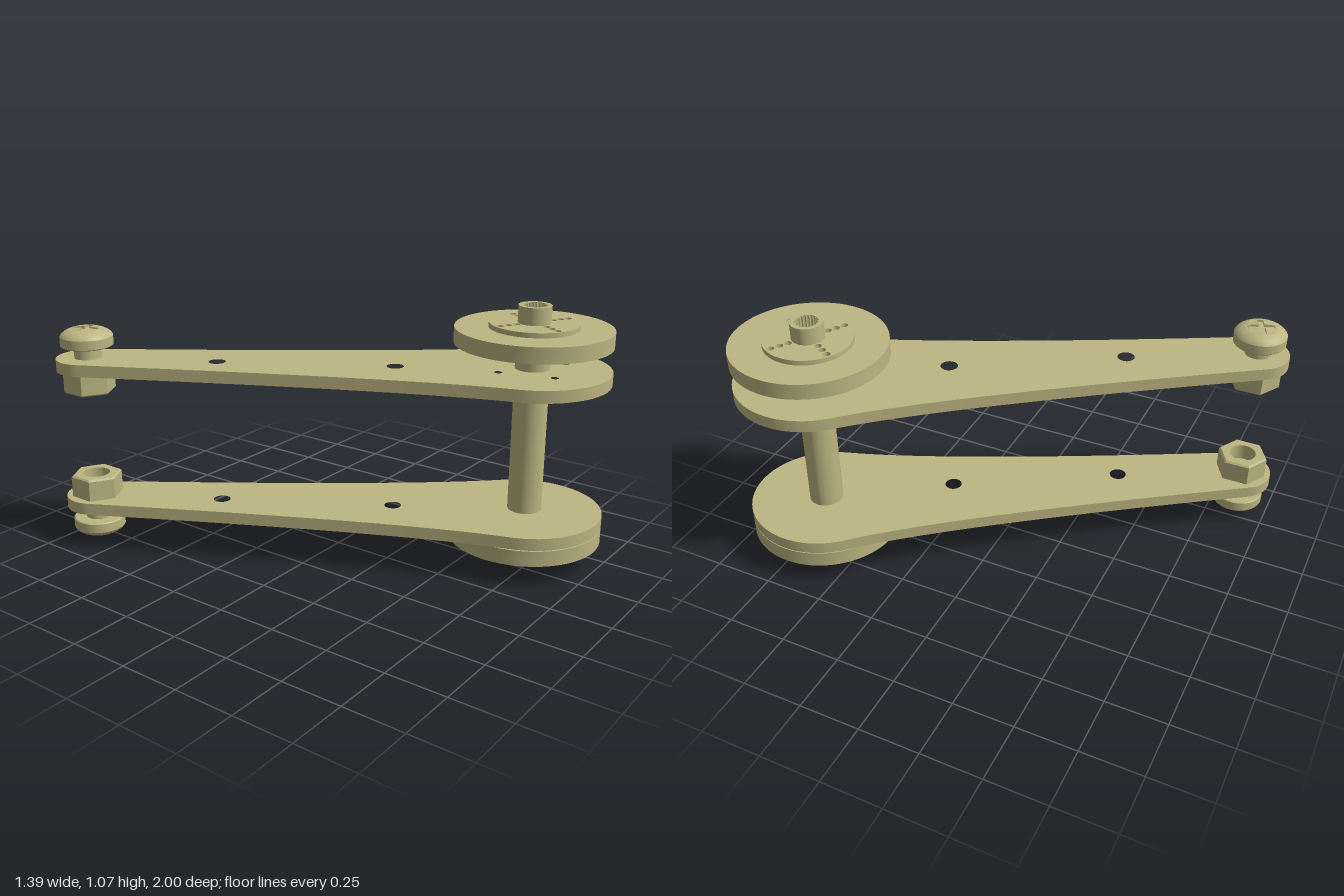
import * as THREE from 'three';
import { toCreasedNormals } from 'three/addons/utils/BufferGeometryUtils.js';

const material = new THREE.MeshStandardMaterial({ color: 0xbdb582 });
const PIVOT = new THREE.Vector2(0.375, 0.683); // axle position (x, z)
const TIP = new THREE.Vector2(-0.567, -0.868); // bolt position (x, z)
const R_BIG = 0.315, R_TIP = 0.13;

function add(parent, name, geometry, y = 0) {
  const mesh = new THREE.Mesh(toCreasedNormals(geometry, 0.5), material);
  mesh.name = name;
  mesh.position.y = y;
  parent.add(mesh);
  return mesh;
}

function hole(x, y, r) {
  return new THREE.Path().absarc(x, y, r, 0, Math.PI * 2, true);
}

// Extrudes a shape drawn in (x, z) upward from y = 0 to y = height
function slab(shape, height, options = {}) {
  const g = new THREE.ExtrudeGeometry(shape, { depth: height, bevelEnabled: false, curveSegments: 32, ...options });
  return g.rotateX(Math.PI / 2).translate(0, height, 0);
}

function lathe(points, segments = 48) {
  return new THREE.LatheGeometry(points.map(([r, y]) => new THREE.Vector2(r, y)), segments);
}

// Four arms of evenly spaced small hole centres, turned by 30 degrees
function armHoles(radii) {
  const list = [];
  for (let i = 0; i < 4; i++) {
    const a = Math.PI / 6 + i * Math.PI / 2;
    for (const r of radii) list.push([r * Math.cos(a), r * Math.sin(a)]);
  }
  return list;
}

// Tapered plate: two round ends joined by slightly concave sides
function armGeometry() {
  const axis = PIVOT.clone().sub(TIP);
  const length = axis.length();
  axis.normalize();
  const toWorld = (u, v) => new THREE.Vector2(
    TIP.x + u * axis.x + v * axis.y, TIP.y + u * axis.y - v * axis.x);
  const pts = [];
  const arc = (u, r, from, to) => {
    for (let i = 0; i <= 40; i++) {
      const a = THREE.MathUtils.degToRad(from + (to - from) * i / 40);
      pts.push([u + r * Math.cos(a), r * Math.sin(a)]);
    }
  };
  arc(length, R_BIG, -104, 104);
  const [bu, bv] = pts[pts.length - 1];
  const side = new THREE.QuadraticBezierCurve(
    new THREE.Vector2(bu, bv), new THREE.Vector2(1.3, 0.195), new THREE.Vector2(-0.007, R_TIP)
  ).getPoints(24).slice(1, -1);
  side.forEach(p => pts.push([p.x, p.y]));
  arc(0, R_TIP, 93, 267);
  side.reverse().forEach(p => pts.push([p.x, -p.y]));

  const shape = new THREE.Shape(pts.map(([u, v]) => toWorld(u, v)));
  shape.holes.push(hole(-0.303, -0.39, 0.035), hole(0.07, 0.23, 0.035));
  armHoles([0.158]).forEach(([x, z]) => shape.holes.push(hole(PIVOT.x + x, PIVOT.y + z, 0.016)));
  return slab(shape, 0.05);
}

// Wheel with a perforated horn and a bored hub, base at y = 0
function makeWheel(name) {
  const g = new THREE.Group();
  g.name = name;
  add(g, 'wheelDisc', new THREE.CylinderGeometry(R_BIG, R_BIG, 0.065, 72), 0.0325);

  const flange = new THREE.Shape().absarc(0, 0, 0.18, 0, Math.PI * 2);
  armHoles([0.085, 0.121, 0.158]).forEach(([x, z]) => flange.holes.push(hole(x, z, 0.015)));
  add(g, 'hornFlange', slab(flange, 0.02), 0.065);

  add(g, 'hornHub', lathe([[0.066, 0.08], [0.066, 0.155], [0.047, 0.155], [0.047, 0.1],
    [0.02, 0.1], [0.02, 0.07], [0, 0.07]]));

  // Fine spline teeth inside the bore
  for (let i = 0; i < 20; i++) {
    const a = i * Math.PI / 10;
    const tooth = add(g, 'splineTooth', new THREE.BoxGeometry(0.006, 0.05, 0.006), 0.127);
    tooth.position.x = 0.046 * Math.cos(a);
    tooth.position.z = 0.046 * Math.sin(a);
    tooth.rotation.y = -a + Math.PI / 4;
  }
  return g;
}

// Domed bolt with a cross recess and a hex nut; y = 0 is the nut side of the plate
function makeBolt(name) {
  const g = new THREE.Group();
  g.name = name;
  add(g, 'shank', new THREE.CylinderGeometry(0.055, 0.055, 0.19, 32), 0.02);
  add(g, 'head', lathe([[0, 0.1], [0.104, 0.1], [0.108, 0.104], [0.108, 0.142], [0.102, 0.151],
    [0.092, 0.159], [0.08, 0.166], [0.065, 0.171]]));

  // Crown with the cross cut through it, bent to follow the dome
  const crown = new THREE.Shape().absarc(0, 0, 0.065, 0, Math.PI * 2);
  const cross = [];
  const w = 0.012, l = 0.054;
  for (let i = 0; i < 4; i++) {
    for (const [x, y] of [[l, -w], [l, w], [w, w]]) {
      cross.push(new THREE.Vector2(x, y).rotateAround(new THREE.Vector2(), i * Math.PI / 2 - 0.4));
    }
  }
  crown.holes.push(new THREE.Path(cross.reverse()));
  const crownGeometry = slab(crown, 0.04, { curveSegments: 24 });
  const p = crownGeometry.attributes.position;
  for (let i = 0; i < p.count; i++) {
    if (p.getY(i) > 0.02) p.setY(i, 0.046 - 1.42 * (p.getX(i) ** 2 + p.getZ(i) ** 2));
  }
  crownGeometry.computeVertexNormals();
  add(g, 'headCrown', crownGeometry, 0.131);
  add(g, 'recessFloor', new THREE.CylinderGeometry(0.065, 0.065, 0.01, 24), 0.13);

  // Hex nut with a chamfered outer rim and an open thread hole
  const hexagon = (r) => {
    const s = new THREE.Shape();
    for (let i = 0; i < 6; i++) {
      const a = Math.PI / 2 + i * Math.PI / 3;
      s[i ? 'lineTo' : 'moveTo'](r * Math.cos(a), r * Math.sin(a));
    }
    s.closePath();
    s.holes.push(hole(0, 0, 0.056));
    return s;
  };
  add(g, 'nut', slab(hexagon(0.107), 0.088), -0.138);
  const rim = slab(hexagon(0.107), 0.007);
  const q = rim.attributes.position;
  for (let i = 0; i < q.count; i++) {
    if (q.getY(i) < 0.003 && Math.hypot(q.getX(i), q.getZ(i)) > 0.08) {
      q.setX(i, q.getX(i) * 0.93);
      q.setZ(i, q.getZ(i) * 0.93);
    }
  }
  rim.computeVertexNormals();
  add(g, 'nutRim', rim, -0.145);
  return g;
}

export function createModel() {
  const model = new THREE.Group();
  model.name = 'linkedArms';

  // Two identical arm plates
  const arm = armGeometry();
  add(model, 'lowerArm', arm, 0.162);
  add(model, 'upperArm', arm, 0.765);

  // Axle joining the wheels
  const axle = add(model, 'axle', new THREE.CylinderGeometry(0.07, 0.07, 0.74, 48), 0.55);
  axle.position.x = PIVOT.x;
  axle.position.z = PIVOT.y;

  // Wheels: the upper one stands clear of its arm, the lower one touches
  const upperWheel = makeWheel('upperWheel');
  upperWheel.position.set(PIVOT.x + 0.004, 0.915, PIVOT.y - 0.004);
  const lowerWheel = makeWheel('lowerWheel');
  lowerWheel.position.set(PIVOT.x, 0.16, PIVOT.y);
  lowerWheel.rotation.x = Math.PI;
  lowerWheel.position.y = 0.158;

  // Bolts with nuts on the inner faces of the arms
  const upperBolt = makeBolt('upperBolt');
  upperBolt.position.set(TIP.x, 0.765 + 0.05, TIP.y);
  const lowerBolt = makeBolt('lowerBolt');
  lowerBolt.position.set(TIP.x, 0.16, TIP.y);
  lowerBolt.rotation.x = Math.PI;
  for (const bolt of [upperBolt, lowerBolt]) {
    // Head sits clear of the plate, nut bears against it
    bolt.children.forEach(part => {
      if (part.name.startsWith('head') || part.name === 'recessFloor') part.position.y -= 0.05;
    });
  }

  model.add(upperWheel, lowerWheel, upperBolt, lowerBolt);
  return model;
}
